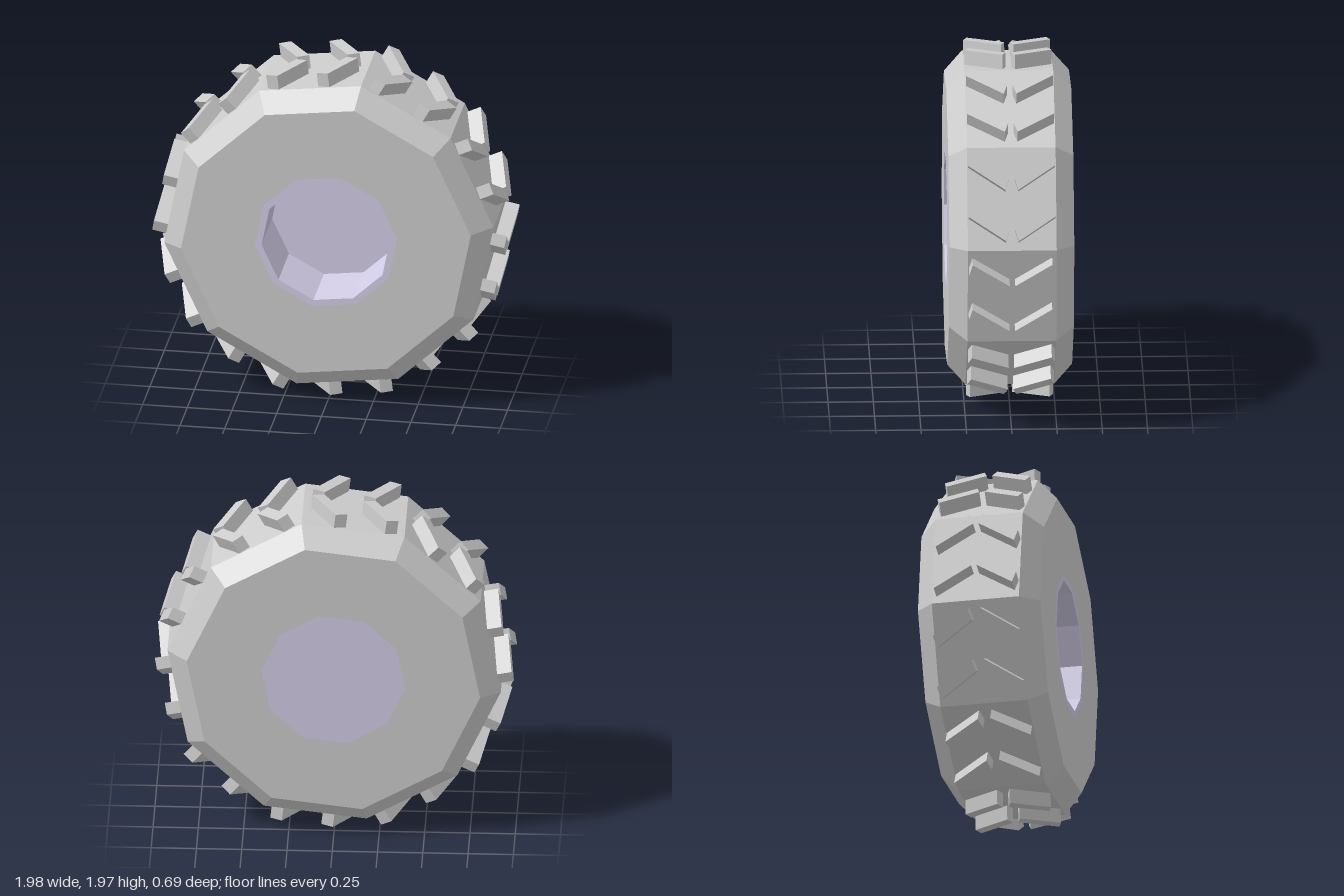
import * as THREE from 'three';

const SIDES = 10;
const TURN = THREE.MathUtils.degToRad(6.8); // angle of the first corner
const STEP = (Math.PI * 2) / SIDES;

const rubber = new THREE.MeshStandardMaterial({ color: 0xcccccc, flatShading: true });
const rim = new THREE.MeshStandardMaterial({ color: 0xd2cce6, flatShading: true });

// Ten-sided turned part around the z axis, from [radius, z] points
function turned(name, profile, material) {
  const points = profile.map(([r, z]) => new THREE.Vector2(r, z));
  const geometry = new THREE.LatheGeometry(points, SIDES, TURN + Math.PI / 2);
  geometry.rotateX(Math.PI / 2);
  const mesh = new THREE.Mesh(geometry, material);
  mesh.name = name;
  return mesh;
}

// Slanted tread bar: outline in (tangent, z), raised along the radius.
// side = 1 for the front half of the chevron, -1 for the back half
function lugGeometry(side) {
  const outline = [[0.035, 0.24], [-0.03, 0.26], [-0.165, 0.055], [-0.1, 0.035]];
  const shape = new THREE.Shape(
    outline.map(([t, z]) => new THREE.Vector2(t + 0.065, side * (z - 0.02)))
  );
  const geometry = new THREE.ExtrudeGeometry(shape, { depth: 0.095, bevelEnabled: false });
  geometry.applyMatrix4(new THREE.Matrix4().makeBasis(
    new THREE.Vector3(0, 1, 0),
    new THREE.Vector3(0, 0, 1),
    new THREE.Vector3(1, 0, 0)
  ));
  return geometry.translate(0.868, 0, 0);
}

export function createModel() {
  const model = new THREE.Group();
  model.name = 'wheel';

  // Tyre body with bevelled shoulders
  model.add(turned('tyre', [
    [0.4, -0.345], [0.816, -0.345], [0.927, -0.245],
    [0.927, 0.245], [0.816, 0.345], [0.4, 0.345],
  ], rubber));

  // Hub: closed at the back, deep recess at the front
  model.add(turned('hubBack', [[0, -0.345], [0.4, -0.345]], rim));
  model.add(turned('hubFront', [
    [0.4, 0.345], [0.362, 0.345], [0.362, -0.015], [0, -0.015],
  ], rim));

  // Two chevrons on every flat of the tyre
  const lugs = [1, -1].map(lugGeometry);
  for (let i = 0; i < SIDES; i++) {
    const flat = new THREE.Group();
    flat.name = 'treadSection';
    flat.rotation.z = TURN + (i + 0.5) * STEP;
    for (const offset of [-0.142, 0.142]) {
      for (const geometry of lugs) {
        const lug = new THREE.Mesh(geometry, rubber);
        lug.name = 'treadLug';
        lug.position.y = offset;
        flat.add(lug);
      }
    }
    model.add(flat);
  }

  // Rest the lowest lug on the ground
  model.position.y = 0.983;
  const root = new THREE.Group();
  root.add(model);
  return root;
}
